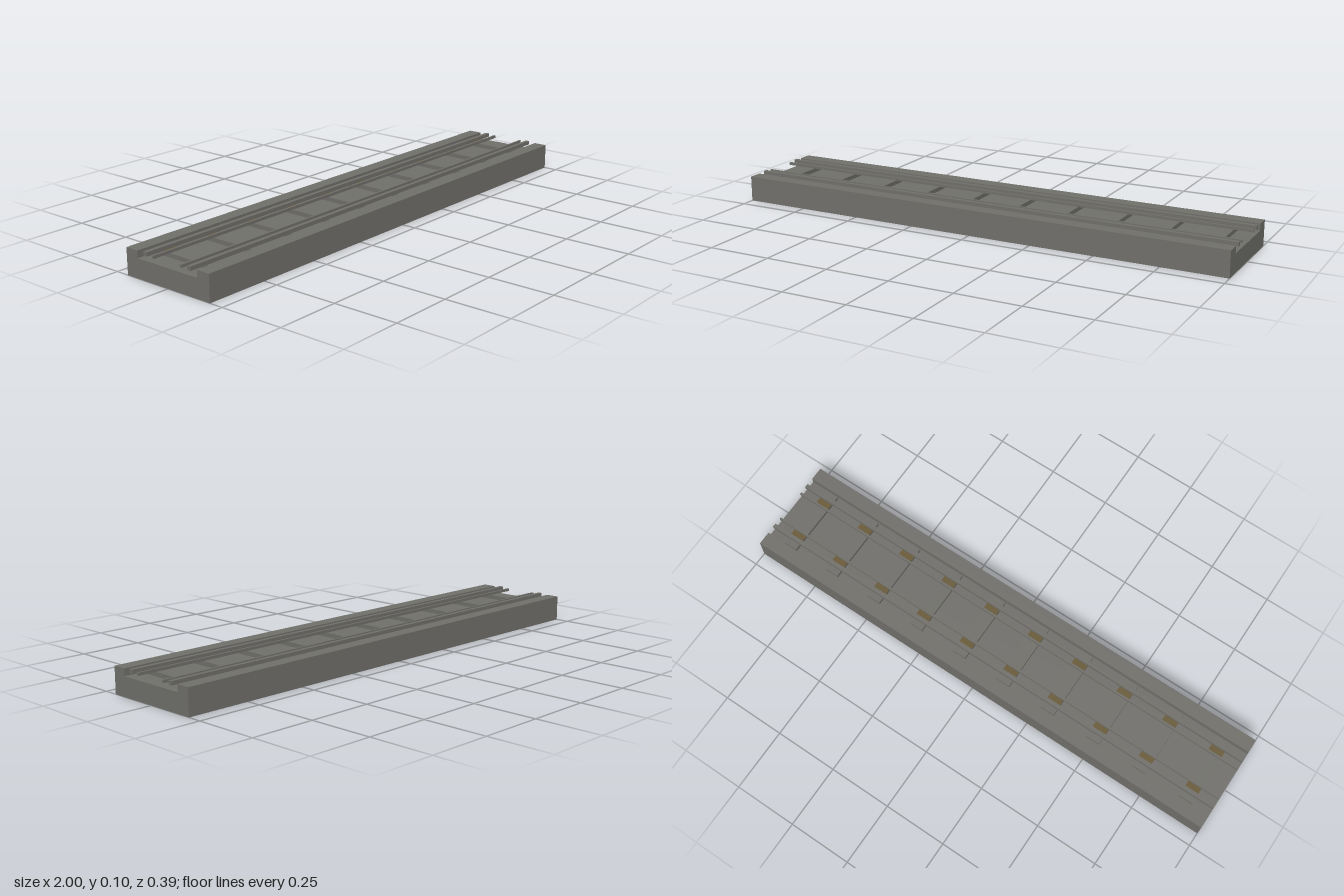
import * as THREE from 'three';

export function createModel() {
  const group = new THREE.Group();
  const concrete = new THREE.MeshStandardMaterial({ color: 0x72716c });
  concrete.name = 'concrete grey';
  const rust = new THREE.MeshStandardMaterial({ color: 0x6b5c3a });
  rust.name = 'rusty brown';

  const LENGTH = 2, HALF = 0.196, TOP = 0.1;
  const CHANNEL = 0.142, FLOOR = 0.073, SLEEPER_TOP = 0.089;

  // Box given by its centre in x and z, its bottom and top
  function box(name, material, x, z, width, depth, bottom, top) {
    const mesh = new THREE.Mesh(new THREE.BoxGeometry(width, top - bottom, depth), material);
    mesh.position.set(x, (bottom + top) / 2, z);
    mesh.name = name;
    group.add(mesh);
  }

  // Bed: a channel profile swept along x
  const profile = new THREE.Shape([
    [-HALF, 0], [HALF, 0], [HALF, TOP], [CHANNEL, TOP],
    [CHANNEL, FLOOR], [-CHANNEL, FLOOR], [-CHANNEL, TOP], [-HALF, TOP],
  ].map(([z, y]) => new THREE.Vector2(z, y)));
  const bedGeometry = new THREE.ExtrudeGeometry(profile, { depth: LENGTH, bevelEnabled: false });
  bedGeometry.translate(0, 0, -LENGTH / 2).rotateY(Math.PI / 2);
  const bed = new THREE.Mesh(bedGeometry, concrete);
  bed.name = 'trackBed';
  group.add(bed);

  // Sleepers with a thin brown plate beside each rail
  for (let i = 0; i < 10; i++) {
    const x = -0.9 + i * 0.2;
    box('sleeper', concrete, x, 0, 0.056, 0.272, FLOOR, SLEEPER_TOP);
    for (const side of [-1, 1]) {
      box('railPlate', rust, x, side * 0.083, 0.056, 0.027, SLEEPER_TOP, SLEEPER_TOP + 0.001);
    }
  }

  // Running rails and slimmer inner guard rails
  for (const side of [-1, 1]) {
    box('rail', concrete, 0, side * 0.104, LENGTH, 0.016, SLEEPER_TOP, 0.104);
    box('guardRail', concrete, 0, side * 0.066, LENGTH, 0.008, SLEEPER_TOP, 0.1);
  }
  return group;
}
